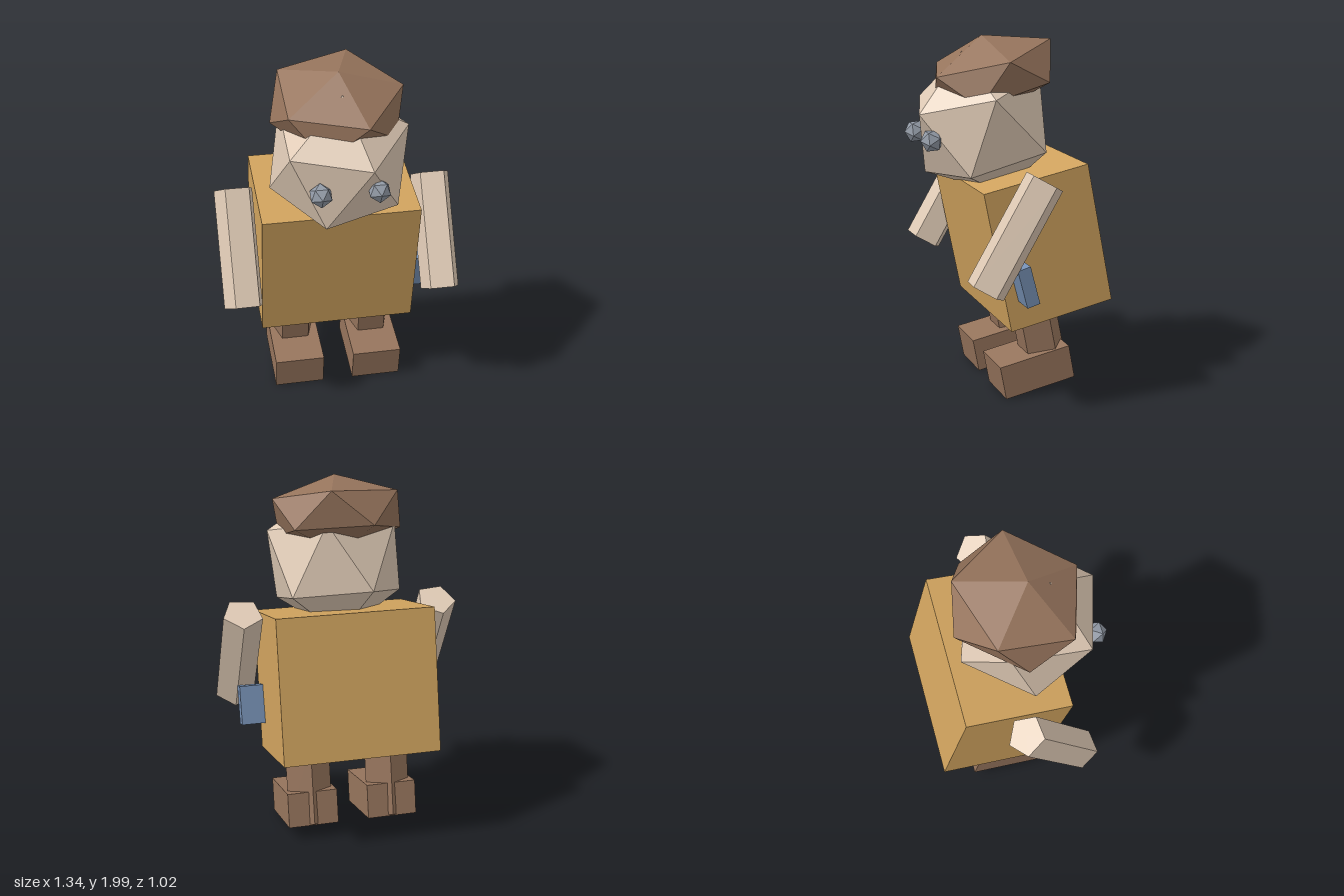
import * as THREE from 'three';
import { ConvexGeometry } from 'three/addons/geometries/ConvexGeometry.js';

const paint = (name, color) => {
  const m = new THREE.MeshStandardMaterial({ color, flatShading: true });
  m.name = name;
  return m;
};

export function createModel() {
  const model = new THREE.Group();
  model.name = 'figure';

  const skin = paint('skin', 0xdfcab5);
  const ochre = paint('ochre', 0xd0a35e);
  const brown = paint('brown', 0x96745c);
  const blue = paint('blue', 0x758fb2);
  const slate = paint('slate', 0x929aa6);

  const add = (name, geometry, material, x, y, z, tilt = 0) => {
    const mesh = new THREE.Mesh(geometry, material);
    mesh.name = name;
    mesh.position.set(x, y, z);
    mesh.rotation.x = tilt;
    model.add(mesh);
    return mesh;
  };

  // Twelve-cornered solid from six half-axes and their opposites
  const facetedBall = (axes) => {
    const corners = axes.map((a) => new THREE.Vector3(...a));
    return new ConvexGeometry([...corners, ...corners.map((v) => v.clone().negate())]);
  };

  // Five-sided prism with one edge to the back, optionally twisted
  const prism = (radius, length, twist = 0) =>
    new THREE.CylinderGeometry(radius, radius, length, 5, 1, false, Math.PI + twist);

  // Leaning torso
  add('body', new THREE.BoxGeometry(0.885, 0.8, 0.61), ochre, -0.002, 0.877, -0.127, 0.2);

  // Head, turned a little to one side
  add('head', facetedBall([
    [0.115, 0.087, 0.395], [-0.119, -0.278, 0.297], [0.3, -0.241, 0.167],
    [0.375, 0.183, 0.05], [-0.304, 0.129, 0.267], [0, 0.405, 0.115],
  ]), skin, 0, 1.509, 0.108);

  // Squashed cap over the head
  add('cap', facetedBall([
    [0, 0.207, 0.06], [0.36, 0.094, 0.026], [0.111, 0.185, -0.304],
    [0.111, 0, 0.356], [-0.293, 0.148, -0.174], [-0.293, 0.032, 0.228],
  ]), brown, 0, 1.792, 0.047);

  // Paired parts
  for (const [side, s] of [['left', 1], ['right', -1]]) {
    add(side + 'Eye', new THREE.IcosahedronGeometry(0.065), slate, s * 0.155, 1.459, 0.445, 0.55);
    add(side + 'Arm', prism(0.114, 0.657, -s * 0.105), skin, s * 0.56, 0.997, 0.12, -0.53);
    add(side + 'Leg', prism(0.134, 0.45), brown, s * 0.232, 0.29, -0.154, 0.2);
    add(side + 'Foot', new THREE.BoxGeometry(0.286, 0.194, 0.42), brown, s * 0.232, 0.14, -0.09, 0.19);
  }

  // Small pouch at the left hip
  add('hipPouch', new THREE.BoxGeometry(0.174, 0.22, 0.075), blue, 0.487, 0.712, 0.045, 0.26);

  return model;
}
